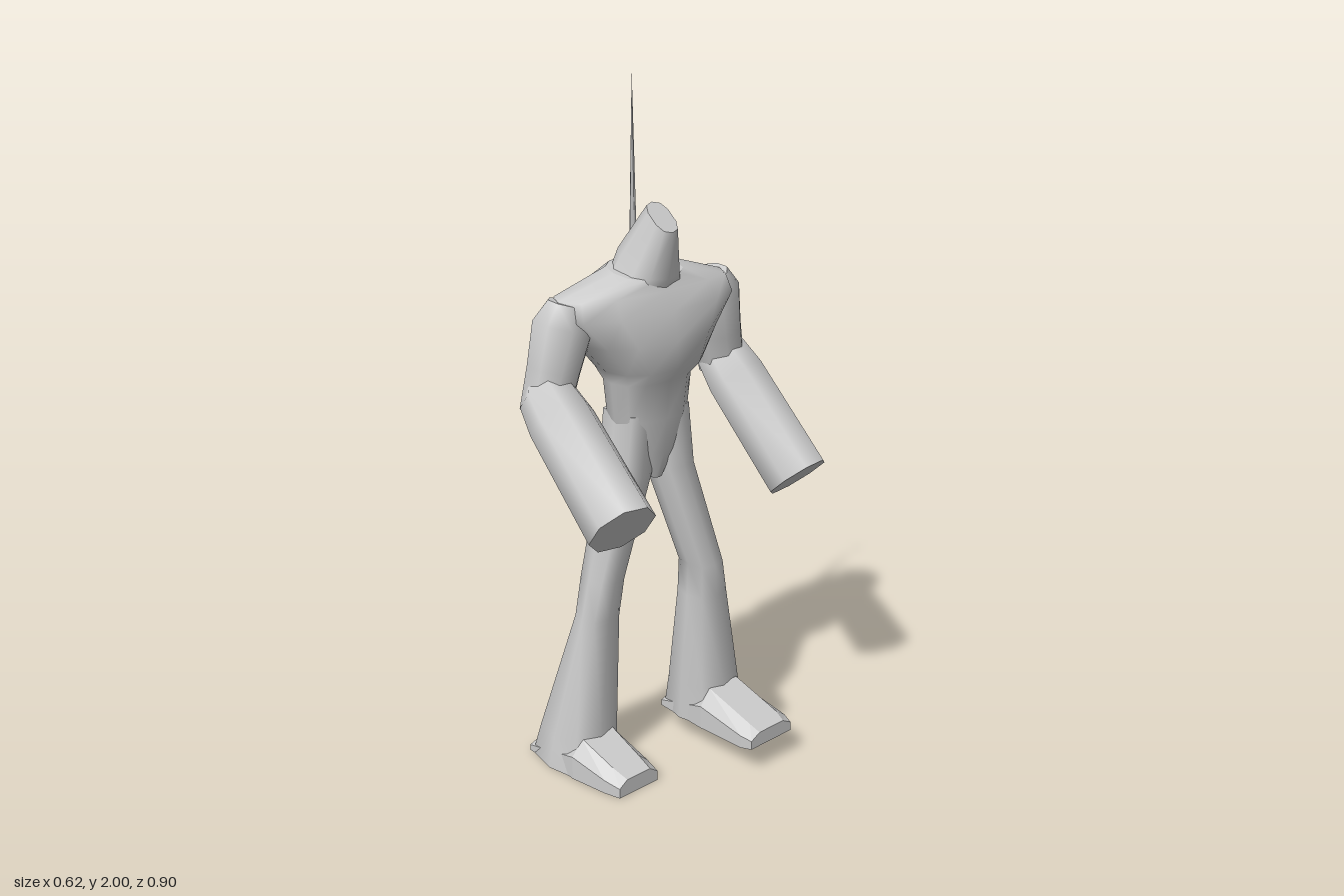
import * as THREE from 'three';

const V = (x, y, z) => new THREE.Vector3(x, y, z);
const material = new THREE.MeshStandardMaterial({ color: 0xcccccc });

// Skin a list of equal-length rings, with flat caps on both ends
function loft(name, rings, flat = false) {
  const n = rings[0].length, pos = [], index = [];
  const add = p => pos.push(p.x, p.y, p.z) / 3 - 1;
  rings.forEach(r => r.forEach(add));
  for (let i = 0; i < rings.length - 1; i++) {
    for (let j = 0; j < n; j++) {
      const a = i * n + j, b = i * n + (j + 1) % n;
      index.push(a, b, a + n, b, b + n, a + n);
    }
  }
  [rings[0], rings[rings.length - 1]].forEach((r, end) => {
    const mid = r.reduce((s, p) => s.add(p), V(0, 0, 0)).divideScalar(n);
    const c = add(mid), ids = r.map(add);
    for (let j = 0; j < n; j++) {
      const a = ids[j], b = ids[(j + 1) % n];
      index.push(c, ...(end ? [a, b] : [b, a]));
    }
  });
  // Turn the faces outwards if the signed volume is negative
  const at = i => V(pos[3 * i], pos[3 * i + 1], pos[3 * i + 2]);
  let volume = 0;
  for (let i = 0; i < index.length; i += 3) {
    volume += at(index[i]).dot(at(index[i + 1]).cross(at(index[i + 2])));
  }
  if (volume < 0) index.reverse();
  let g = new THREE.BufferGeometry();
  g.setAttribute('position', new THREE.Float32BufferAttribute(pos, 3));
  g.setIndex(index);
  if (flat) g = g.toNonIndexed();
  g.computeVertexNormals();
  const mesh = new THREE.Mesh(g, material);
  mesh.name = name;
  return mesh;
}

// Roughly level ring: y, x range, z range, and a slope along x
function level([y, x0, x1, z0, z1, slope = 0], n = 12, power = 0.8) {
  const bend = v => Math.sign(v) * Math.abs(v) ** power;
  return Array.from({ length: n }, (_, i) => {
    const t = i / n * Math.PI * 2;
    const dx = bend(Math.cos(t)) * (x1 - x0) / 2;
    return V((x0 + x1) / 2 + dx, y + slope * dx, (z0 + z1) / 2 + bend(Math.sin(t)) * (z1 - z0) / 2);
  });
}

// Round limb along a straight axis; stations are [fraction, radius]
function limb(name, from, to, stations, n = 8) {
  const dir = to.clone().sub(from).normalize();
  const side = V(0, 0, 1).addScaledVector(dir, -dir.z).normalize();
  const up = dir.clone().cross(side);
  return loft(name, stations.map(([f, r]) => Array.from({ length: n }, (_, i) => {
    const t = (i + 0.5) / n * Math.PI * 2;
    return from.clone().lerp(to, f)
      .addScaledVector(side, Math.cos(t) * r).addScaledVector(up, Math.sin(t) * r);
  })));
}

// Wedge foot: sections across x are [x, bottom, top, inner z, outer z]
function foot(name, sections) {
  return loft(name, sections.map(([x, y0, y1, z0, z1]) => {
    const inset = (z1 - z0) * 0.2;
    return [V(x, y0, z0), V(x, y0, z1), V(x, y0 + (y1 - y0) * 0.6, z1),
      V(x, y1, z1 - inset), V(x, y1, z0 + inset), V(x, y0 + (y1 - y0) * 0.6, z0)];
  }), true);
}

export function createModel() {
  const model = new THREE.Group();
  model.name = 'figure';

  // Torso, narrowing to the pelvis and up to the neck
  model.add(loft('torso', [
    [0.90, -0.08, -0.01, -0.02, 0.02],
    [0.98, -0.11, 0.01, -0.07, 0.07],
    [1.08, -0.14, 0.02, -0.12, 0.12],
    [1.19, -0.15, 0.03, -0.13, 0.13],
    [1.23, -0.17, 0.065, -0.155, 0.155],
    [1.31, -0.205, 0.065, -0.22, 0.22],
    [1.39, -0.2, 0.05, -0.3, 0.3],
    [1.44, -0.18, 0.02, -0.29, 0.29],
    [1.49, -0.15, 0.01, -0.11, 0.11, -0.2],
  ].map(r => level(r))));

  // Head leaning forward with a slanted flat top
  model.add(loft('head', [
    [1.45, -0.15, 0.01, -0.11, 0.11, -0.3],
    [1.51, -0.13, 0.025, -0.08, 0.08, -0.5],
    [1.635, -0.04, 0.042, -0.037, 0.037, -0.85],
  ].map(r => level(r, 10))));

  // Thin spike standing on the back
  const spike = new THREE.Mesh(new THREE.ConeGeometry(0.014, 0.58, 5), material);
  spike.name = 'spike';
  spike.position.set(-0.14, 1.71, -0.02);
  model.add(spike);

  // Arms: short upper arm and heavy forearm, each side posed differently
  const arms = [
    ['left', V(-0.09, 1.43, 0.25), V(-0.11, 1.14, 0.32), V(-0.12, 1.2, 0.315), V(0.252, 0.928, 0.362)],
    ['right', V(-0.09, 1.43, -0.26), V(-0.11, 1.14, -0.335), V(-0.13, 1.19, -0.335), V(0.175, 0.857, -0.367)],
  ];
  for (const [side, shoulder, elbow, start, end] of arms) {
    model.add(limb(side + 'UpperArm', shoulder, elbow, [[0, 0.055], [0.2, 0.085], [0.6, 0.075], [1, 0.07]]));
    model.add(limb(side + 'Forearm', start, end, [[-0.06, 0.04], [0.06, 0.08], [0.25, 0.092], [1, 0.095]]));
  }

  // Legs flaring below the knee
  model.add(loft('leftLeg', [
    [1.1, -0.14, 0.01, 0.005, 0.115],
    [0.92, -0.145, 0.0, 0.015, 0.13],
    [0.6, -0.163, -0.05, 0.08, 0.185],
    [0.48, -0.172, -0.068, 0.085, 0.2],
    [0.1, -0.28, -0.07, 0.082, 0.27],
    [0.0, -0.31, -0.06, 0.08, 0.283],
  ].map(r => level(r, 8, 0.6))));
  model.add(loft('rightLeg', [
    [1.1, -0.14, 0.01, -0.115, -0.005],
    [0.92, -0.12, 0.015, -0.13, -0.015],
    [0.6, -0.07, 0.052, -0.212, -0.11],
    [0.5, -0.075, 0.053, -0.23, -0.108],
    [0.2, -0.12, 0.06, -0.288, -0.105],
    [0.08, -0.145, 0.07, -0.308, -0.105],
  ].map(r => level(r, 8, 0.6))));

  // Feet
  model.add(foot('leftFoot', [
    [-0.3, 0, 0.03, 0.09, 0.265], [-0.09, 0, 0.12, 0.085, 0.27],
    [0.03, 0, 0.07, 0.085, 0.25], [0.08, 0, 0.05, 0.09, 0.235],
  ]));
  model.add(foot('rightFoot', [
    [-0.13, 0.08, 0.11, -0.29, -0.115], [0.05, 0.08, 0.2, -0.295, -0.11],
    [0.21, 0.08, 0.145, -0.305, -0.12], [0.245, 0.085, 0.13, -0.295, -0.13],
  ]));

  return model;
}
